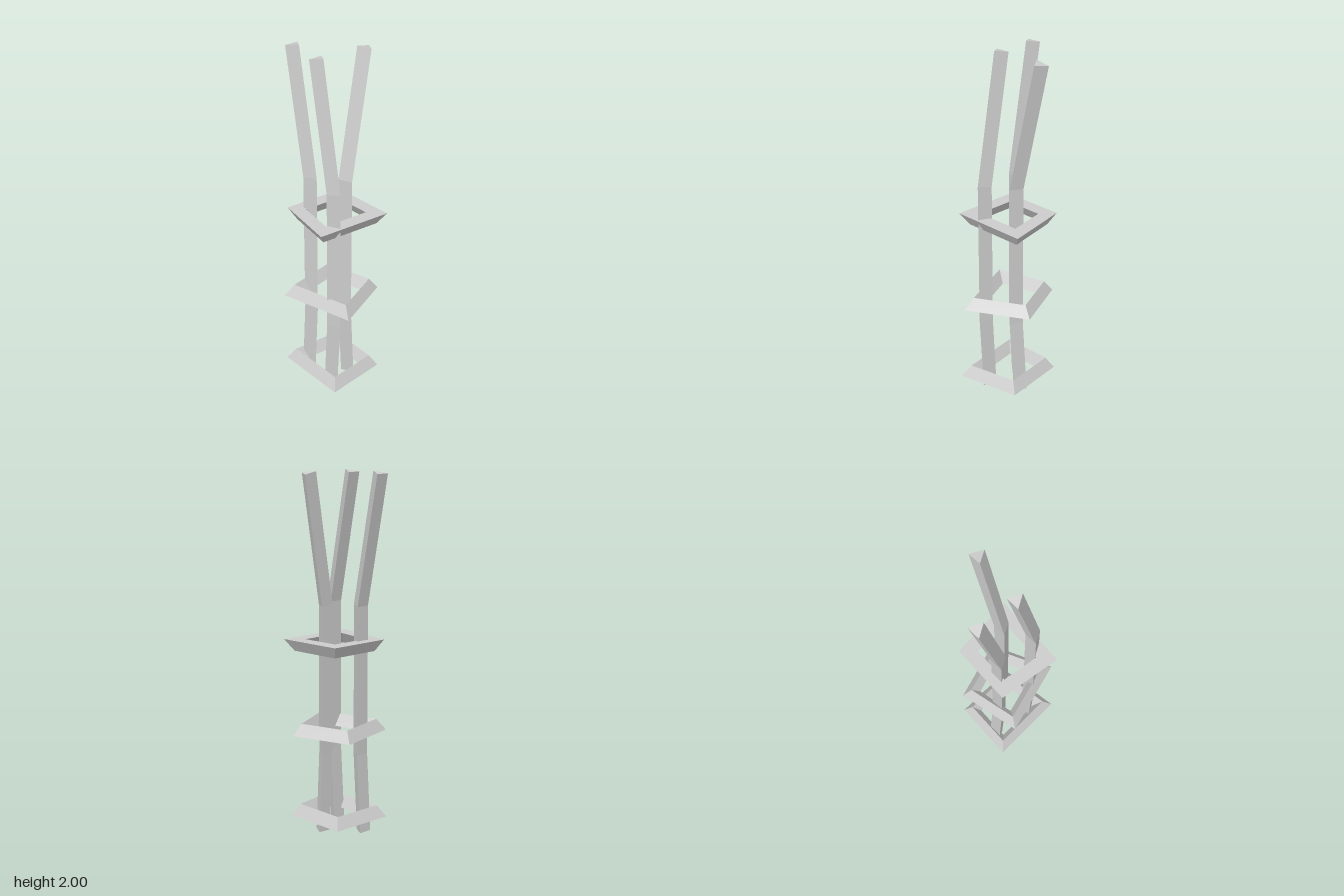
import * as THREE from 'three';

const RADIUS = 0.045;   // pole section radius
const BAR = 0.076;      // ring bar width
const BAR_HEIGHT = 0.065;

// Skin a list of three-cornered sections, either capped or closed into a loop
function loft(sections, closed) {
  const pos = [];
  const tri = (a, b, c) => pos.push(...a.toArray(), ...b.toArray(), ...c.toArray());
  const n = sections.length;
  for (let s = 0; s < (closed ? n : n - 1); s++) {
    const lo = sections[s], hi = sections[(s + 1) % n];
    for (let i = 0; i < 3; i++) {
      const j = (i + 1) % 3;
      tri(lo[i], hi[i], hi[j]);
      tri(lo[i], hi[j], lo[j]);
    }
  }
  if (!closed) {
    const end = sections[n - 1];
    tri(...sections[0]);
    tri(end[2], end[1], end[0]);
  }
  const geometry = new THREE.BufferGeometry();
  geometry.setAttribute('position', new THREE.Float32BufferAttribute(pos, 3));
  geometry.computeVertexNormals();
  return geometry;
}

// Three-sided bent pole; each section tilts with the mean slope of its neighbours
function poleGeometry(path) {
  const slope = (a, b) => [(b[0] - a[0]) / (b[1] - a[1]), (b[2] - a[2]) / (b[1] - a[1])];
  const sections = path.map((p, k) => {
    const before = slope(path[Math.max(k - 1, 0)], path[Math.max(k, 1)]);
    const last = path.length - 1;
    const after = slope(path[Math.min(k, last - 1)], path[Math.min(k + 1, last)]);
    const sx = (before[0] + after[0]) / 2, sz = (before[1] + after[1]) / 2;
    return [0, 1, 2].map((i) => {
      const a = (i * Math.PI * 2) / 3;
      const dx = RADIUS * Math.cos(a), dz = RADIUS * Math.sin(a);
      return new THREE.Vector3(p[0] + dx, p[1] - sx * dx - sz * dz, p[2] + dz);
    });
  });
  return loft(sections, false);
}

// Four-cornered ring of triangular bar, mitred at the corners; ridge points up or down
function ringGeometry(corners, flatY, up) {
  const pts = corners.map(([x, z]) => new THREE.Vector3(x, flatY, z));
  const sections = pts.map((outer, k) => {
    const a = pts[(k + 3) % 4].clone().sub(outer).normalize();
    const b = pts[(k + 1) % 4].clone().sub(outer).normalize();
    const halfAngle = a.angleTo(b) / 2;
    const inward = a.add(b).normalize().multiplyScalar(BAR / Math.sin(halfAngle));
    const inner = outer.clone().add(inward);
    const ridge = outer.clone().lerp(inner, 0.5);
    ridge.y += up ? BAR_HEIGHT : -BAR_HEIGHT;
    return up ? [inner, ridge, outer] : [outer, ridge, inner];
  });
  return loft(sections, true);
}

export function createModel() {
  const group = new THREE.Group();
  const material = new THREE.MeshStandardMaterial({ color: 0xcccccc, flatShading: true });
  const add = (name, geometry) => {
    const mesh = new THREE.Mesh(geometry, material);
    mesh.name = name;
    group.add(mesh);
  };

  // Poles: upright position, foot shift and top lean
  const poles = [
    { name: 'rightPole', x: -0.107, z: 0.068, foot: [-0.028, 0], top: [-0.14, 0] },
    { name: 'leftPole', x: 0.123, z: 0.088, foot: [-0.027, 0], top: [-0.14, 0] },
    { name: 'backPole', x: 0.036, z: -0.059, foot: [-0.005, -0.027], top: [-0.024, -0.139] },
  ];
  for (const { name, x, z, foot, top } of poles) {
    add(name, poleGeometry([
      [x + foot[0], 0.005, z + foot[1]],
      [x, 0.45, z],
      [x, 1.28, z],
      [x + top[0], 1.991, z + top[1]],
    ]));
  }

  // Binding rings: outer corners as x, z
  add('lowerRing', ringGeometry(
    [[0.18, -0.18], [0.23, 0.175], [-0.203, 0.19], [-0.185, -0.173]], 0.077, true));
  add('middleRing', ringGeometry(
    [[0.111, -0.227], [0.268, 0.11], [-0.148, 0.235], [-0.223, -0.12]], 0.563, true));
  add('upperRing', ringGeometry(
    [[-0.173, -0.179], [0.196, -0.211], [0.173, 0.221], [-0.188, 0.173]], 1.09, false));

  return group;
}
